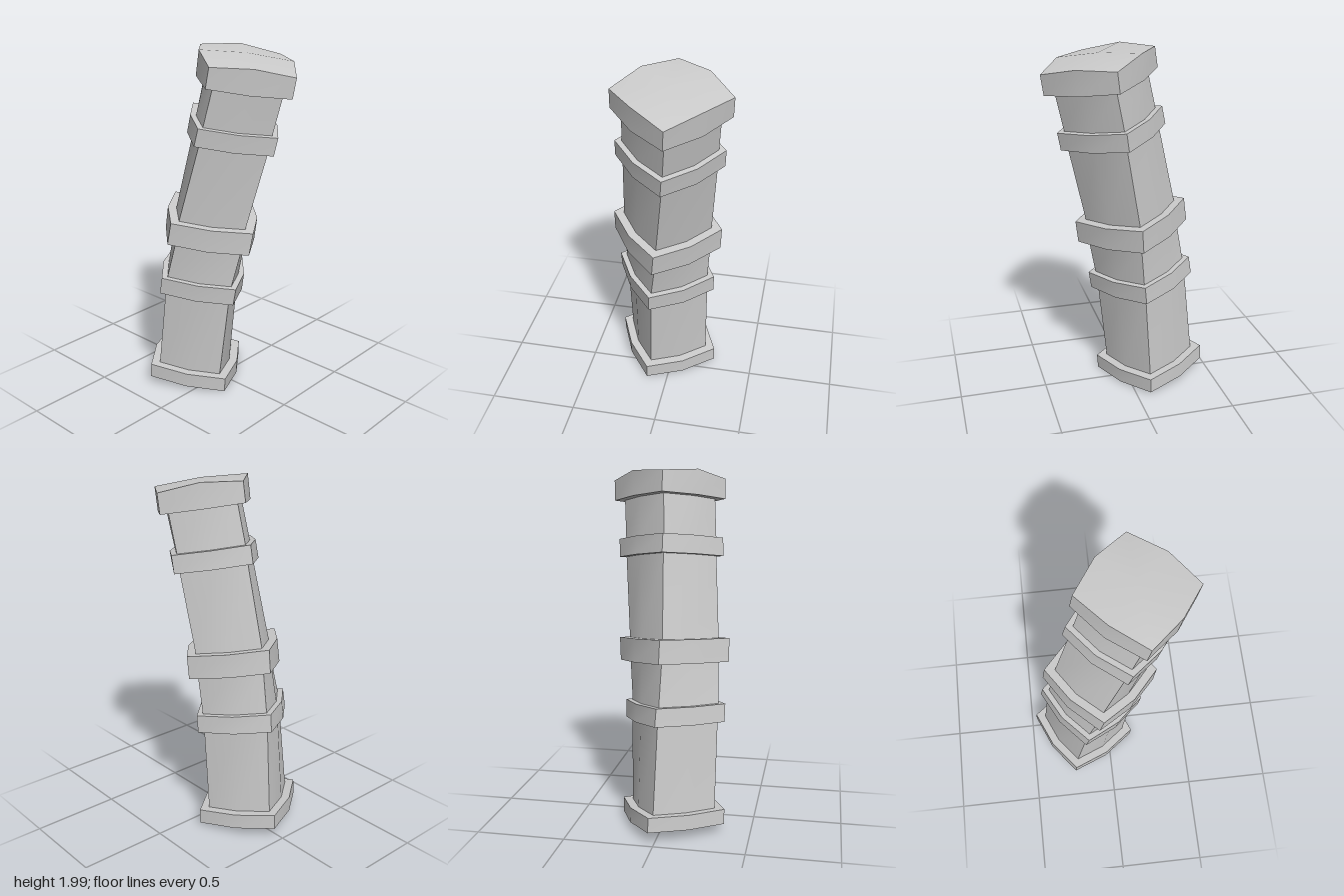
import * as THREE from 'three';
import { toCreasedNormals } from 'three/addons/utils/BufferGeometryUtils.js';

const SIDES = 8; // four corners and four slightly bulged side middles
const MID = 0.8; // radius of the side middles relative to the corners

// Stations along the bent, twisting axis: [x, y, z, twist in degrees, slope]
const collars = [
  { name: 'base', r: 0.318, low: [-0.045, 0.031, -0.16, -14.5, 0.107], high: [-0.046, 0.115, -0.155, -14, 0.107] },
  { name: 'lowerBand', r: 0.298, low: [-0.045, 0.603, -0.105, -10, 0.127], high: [-0.045, 0.703, -0.09, -9, 0.127] },
  { name: 'middleBand', r: 0.318, low: [-0.033, 0.93, -0.048, -4.5, 0.15], high: [-0.028, 1.06, -0.031, -3, 0.15] },
  { name: 'upperBand', r: 0.297, low: [0.007, 1.508, 0.0725, 1.5, 0.178], high: [0.012, 1.608, 0.0925, 2.5, 0.178] },
  { name: 'cap', r: 0.316, low: [0.028, 1.822, 0.1425, 3.5, 0.178], high: [0.033, 1.934, 0.16, 4, 0.178] },
];
const SHAFT_R = 0.258;

// One tilted cross-section; midLift raises the side middles
function ring([x, y, z, twist, slope], r, midLift = 0) {
  return Array.from({ length: SIDES }, (_, i) => {
    const a = THREE.MathUtils.degToRad(twist) + (i / SIDES) * Math.PI * 2;
    const rad = i % 2 ? r * MID : r;
    const dx = Math.sin(a) * rad, dz = Math.cos(a) * rad;
    return [x + dx, y - slope * dz - 0.03 * dx + (i % 2 ? midLift : 0), z + dz];
  });
}

// Skin a list of rings from bottom to top, with an optional apex
function loft(rings, apex) {
  const pos = [];
  for (let k = 0; k < rings.length - 1; k++) {
    for (let i = 0; i < SIDES; i++) {
      const j = (i + 1) % SIDES;
      const a = rings[k][i], b = rings[k][j], c = rings[k + 1][j], d = rings[k + 1][i];
      pos.push(...a, ...b, ...c, ...a, ...c, ...d);
    }
  }
  if (apex) {
    const top = rings[rings.length - 1];
    for (let i = 0; i < SIDES; i++) pos.push(...top[i], ...top[(i + 1) % SIDES], ...apex);
  }
  const g = new THREE.BufferGeometry();
  g.setAttribute('position', new THREE.Float32BufferAttribute(pos, 3));
  return toCreasedNormals(g, 0.6);
}

export function createModel() {
  const group = new THREE.Group();
  group.name = 'leaningPillar';
  const material = new THREE.MeshStandardMaterial({ color: 0xcccccc, side: THREE.DoubleSide });
  const add = (name, geometry) => {
    const mesh = new THREE.Mesh(geometry, material);
    mesh.name = name;
    group.add(mesh);
  };

  collars.forEach(({ name, r, low, high }, n) => {
    const outer = [ring(low, r), ring(high, r, name === 'cap' ? 0.025 : 0)];
    const lowLedge = ring(low, SHAFT_R), highLedge = ring(high, SHAFT_R);
    // The base is open underneath, the cap is closed by a shallow dome
    if (name === 'base') add(name, loft([...outer, highLedge]));
    else if (name === 'cap') add(name, loft([lowLedge, ...outer], [high[0], high[1] + 0.04, high[2]]));
    else add(name, loft([lowLedge, ...outer, highLedge]));

    // Shaft section up to the next collar
    const next = collars[n + 1];
    if (next) add('shaftSection' + (n + 1), loft([highLedge, ring(next.low, SHAFT_R)]));
  });
  return group;
}
